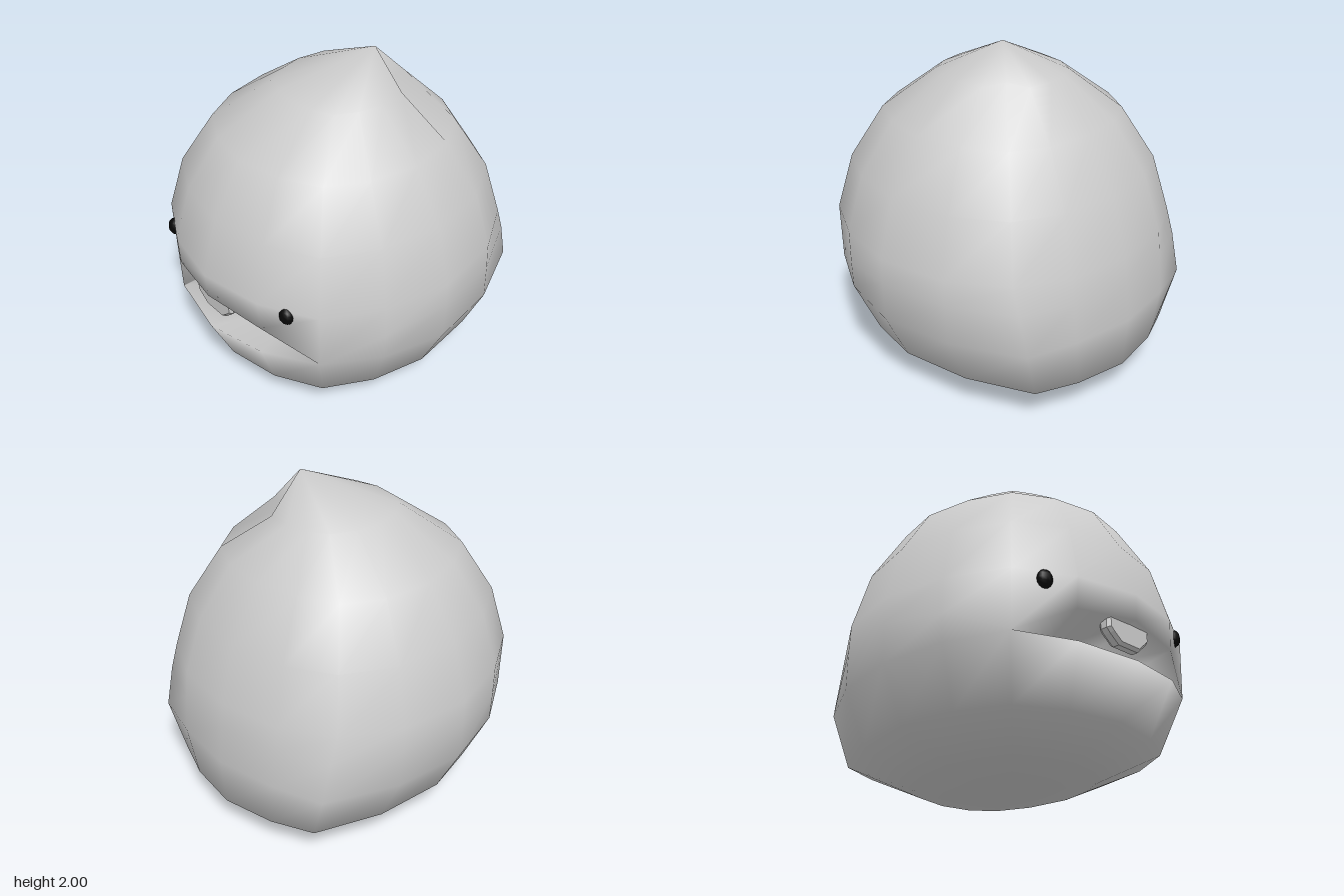
import * as THREE from 'three';

const SIDES = 16;
// Half of the plan outline as [x, z], from the front round to the back
const OUTLINE = [[0, 1], [0.4, 0.925], [0.73, 0.75], [0.915, 0.42], [1, 0.02], [0.92, -0.43], [0.71, -0.77], [0.4, -0.94], [0, -1]];
// Body rings: height, half width, front depth, back depth, back corner fullness
const ROWS = [
  [0.06, 0.44, 0.47, 0.59, 1],
  [0.22, 0.79, 0.82, 0.94, 1.08],
  [0.52, 0.937, 0.96, 0.965, 1.1],
  [0.75, 0.944, 0.96, 0.94, 1.05],
  [0.9, 0.943, 0.97, 0.92, 1],
  [1.235, 0.85, 0.875, 0.82, 1],
  [1.54, 0.66, 0.69, 0.63, 1],
  [1.785, 0.35, 0.35, 0.38, 1],
];
const LOWER_LIP = 2, UPPER_LIP = 3;
// Lip heights by column away from the centre; both meet at column 2
const LIP_Y = { [LOWER_LIP]: [0.52, 0.54, 0.56, 0.54], [UPPER_LIP]: [0.75, 0.72, 0.56, 0.7] };

function bodyGeometry() {
  const pos = [], index = [];
  ROWS.forEach(([y, w, front, back, corner], r) => {
    for (let j = 0; j < SIDES; j++) {
      const k = Math.min(j, SIDES - j);
      const [ox, oz] = OUTLINE[k];
      let x = ox * w * (j > 8 ? -1 : 1);
      let z = oz * (oz > 0 ? front : back) * (k === 6 ? corner : 1);
      const h = LIP_Y[r] && k < 4 ? LIP_Y[r][k] : y;
      if (r === ROWS.length - 1) {
        x += 0.03;
        // hollow under the leaning tip
        if (j === 6) { x *= 0.72; z *= 0.72; }
      }
      pos.push(x, h, z);
    }
  });
  const bottom = pos.length / 3;
  pos.push(0, 0, 0);
  const tip = bottom + 1;
  pos.push(0.16, 2, -0.14);
  const throat = tip + 1;
  pos.push(-0.3, 0.6, 0.5, 0, 0.61, 0.42, 0.3, 0.6, 0.5);

  const id = (r, j) => {
    j = (j + SIDES) % SIDES;
    if (r === UPPER_LIP && (j === 2 || j === SIDES - 2)) r = LOWER_LIP; // mouth corners
    return r * SIDES + j;
  };
  const tri = (a, b, c) => { if (a !== b && b !== c && c !== a) index.push(a, b, c); };
  const quad = (a, b, c, d) => { tri(a, b, c); tri(a, c, d); };
  const inner = (j) => (Math.abs(j) === 2 ? id(LOWER_LIP, j) : throat + 1 + j);

  for (let j = -2; j < SIDES - 2; j++) {
    tri(bottom, id(0, j + 1), id(0, j));
    for (let r = 0; r < ROWS.length - 1; r++) {
      if (r === LOWER_LIP && j < 2) {
        // mouth floor and roof
        quad(id(r, j), id(r, j + 1), inner(j + 1), inner(j));
        quad(inner(j), inner(j + 1), id(r + 1, j + 1), id(r + 1, j));
      } else {
        quad(id(r, j), id(r, j + 1), id(r + 1, j + 1), id(r + 1, j));
      }
    }
    tri(id(ROWS.length - 1, j), id(ROWS.length - 1, j + 1), tip);
  }
  const geo = new THREE.BufferGeometry();
  geo.setAttribute('position', new THREE.Float32BufferAttribute(pos, 3));
  geo.setIndex(index);
  geo.computeVertexNormals();
  return geo;
}

export function createModel() {
  const skin = new THREE.MeshStandardMaterial({ color: 0xcccccc });
  skin.name = 'pale grey';
  skin.side = THREE.DoubleSide;
  const black = new THREE.MeshStandardMaterial({ color: 0x080808 });
  black.name = 'black';

  const group = new THREE.Group();
  const add = (name, geo, mat, x, y, z) => {
    const mesh = new THREE.Mesh(geo, mat);
    mesh.name = name;
    mesh.position.set(x, y, z);
    group.add(mesh);
    return mesh;
  };

  add('body', bodyGeometry(), skin, 0, 0, 0);

  // Rounded tooth hanging from the upper lip
  const toothShape = new THREE.Shape([
    [-0.15, 0.13], [-0.15, 0.07], [-0.13, 0.05], [-0.07, 0.005],
    [0.07, 0.005], [0.12, 0.05], [0.14, 0.07], [0.14, 0.13],
  ].map(([x, y]) => new THREE.Vector2(x, y)));
  const tooth = new THREE.ExtrudeGeometry(toothShape, {
    depth: 0.04, bevelEnabled: true, bevelThickness: 0.02, bevelSize: 0.015, bevelSegments: 1,
  });
  add('tooth', tooth, skin, -0.005, 0.615, 0.86);

  // Bead eyes
  for (const [name, x] of [['leftEye', 0.515], ['rightEye', -0.53]]) {
    const eye = add(name, new THREE.SphereGeometry(0.05, 10, 8), black, x, 0.86, 0.808);
    eye.scale.set(0.95, 1.08, 0.8);
  }
  return group;
}
